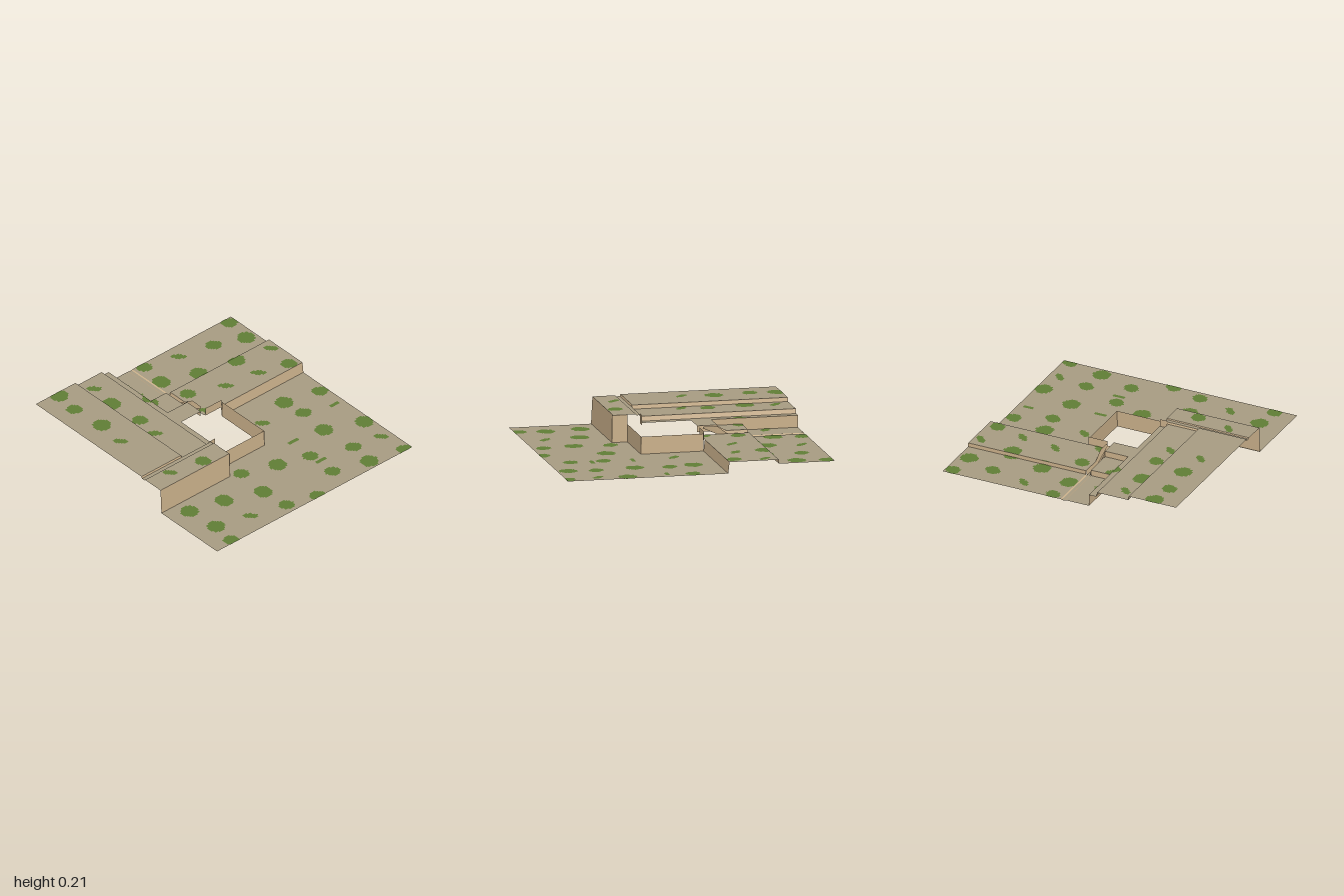
import * as THREE from 'three';
import { mergeGeometries } from 'three/addons/utils/BufferGeometryUtils.js';

const flat = (name, color) => {
  const m = new THREE.MeshStandardMaterial({ color, side: THREE.DoubleSide });
  m.name = name;
  return m;
};

// four corners in order around the face
function quad(a, b, c, d) {
  const g = new THREE.BufferGeometry();
  g.setAttribute('position', new THREE.Float32BufferAttribute([...a, ...b, ...c, ...d], 3));
  g.setIndex([0, 1, 2, 0, 2, 3]);
  g.computeVertexNormals();
  return g;
}
const floor = (x0, x1, z0, z1, y) => quad([x0, y, z0], [x0, y, z1], [x1, y, z1], [x1, y, z0]);

// wall along a line, its top edge leaning by (ox, oz)
const wall = (x0, z0, x1, z1, y0, y1, ox = 0, oz = 0) =>
  quad([x0, y0, z0], [x1, y0, z1], [x1 + ox, y1, z1 + oz], [x0 + ox, y1, z0 + oz]);

// level ground: name, x range, z range, height
const tiles = [
  ['frontGroundLeft', -0.95, -0.28, 0.38, 1, 0],
  ['frontGroundMiddle', -0.28, 0.155, 0.27, 1, 0],
  ['frontGroundRight', 0.155, 0.95, -0.2, 1, 0],
  ['frontLedge', -0.95, -0.28, 0.205, 0.375, 0.203],
  ['ledgeStep', -0.95, -0.28, 0.17, 0.2, 0.195],
  ['highTerrace', -0.95, -0.565, -1, 0.165, 0.21],
  ['middleTerrace', -0.56, -0.308, -1, 0.165, 0.18],
  ['lowTerrace', -0.3, -0.24, -1, 0.17, 0.145],
  ['platform', -0.24, -0.05, -0.35, -0.2, 0.145],
  ['upperYardLeft', -0.24, -0.05, -0.58, -0.35, 0.1],
  ['lowerYardLeft', -0.24, -0.05, -1, -0.58, 0.055],
  ['upperYardRight', -0.01, 0.95, -0.58, -0.21, 0.085],
  ['lowerYardRight', -0.01, 0.95, -1, -0.58, 0.055],
];

// vertical and sloping faces: name, line, bottom, top, lean
const walls = [
  ['ledgeFrontWall', -0.95, 0.385, -0.28, 0.385, 0, 0.203, 0, -0.01],
  ['ledgeSideWall', -0.28, 0.385, -0.28, 0.27, 0, 0.203],
  ['courtFrontWall', -0.285, 0.27, 0.155, 0.27, 0, 0.13, 0, -0.004],
  ['courtSideWall', 0.155, 0.27, 0.155, -0.2, 0, 0.13],
  ['courtBackWall', 0, -0.205, 0.155, -0.205, 0.08, 0.145],
  ['yardFrontWall', 0.155, -0.2, 0.95, -0.2, 0, 0.085, 0, -0.01],
  ['ledgeRiser', -0.95, 0.2, -0.28, 0.2, 0.195, 0.203, 0, 0.005],
  ['highTerraceFront', -0.95, 0.17, -0.565, 0.17, 0.195, 0.21, 0, -0.005],
  ['middleTerraceFront', -0.56, 0.165, -0.3, 0.165, 0.18, 0.195, 0, 0.005],
  ['lowTerraceFront', -0.3, 0.17, -0.24, 0.17, 0.13, 0.203],
  ['highTerraceSide', -0.56, -1, -0.56, 0.17, 0.18, 0.21, -0.005],
  ['middleTerraceSide', -0.3, -1, -0.3, 0.17, 0.145, 0.18, -0.008],
  ['lowTerraceSide', -0.24, -1, -0.24, -0.35, 0.053, 0.145],
  ['platformBackWall', -0.24, -0.35, -0.05, -0.35, 0.1, 0.145],
  ['platformSideWall', -0.05, -0.35, -0.05, -0.2, 0.1, 0.145],
  ['yardStepLeft', -0.24, -0.58, -0.05, -0.58, 0.055, 0.1],
  ['yardStepRight', -0.01, -0.58, 0.95, -0.58, 0.055, 0.085],
];

// grass patch kinds: half width, half depth, slant
const kinds = {
  L: [0.067, 0.068, 0],
  M: [0.06, 0.055, 0.2],
  T: [0.046, 0.043, 0.9],
  F: [0.05, 0.015, 0],
};
// grass grows in columns: x, kinds and z of each patch
const grassColumns = [
  [-0.77, 'LMLTTLLM', [-0.96, -0.765, -0.49, -0.255, 0.26, 0.505, 0.77, 0.965]],
  [-0.495, 'TLMTMLT', [-0.885, -0.665, -0.38, -0.19, 0.315, 0.575, 0.84]],
  [-0.21, 'TMMLM', [-0.745, -0.56, 0.415, 0.685, 0.915]],
  [0.06, 'MLMTLM', [-0.96, -0.745, -0.48, -0.24, 0.51, 0.98]],
  [0.332, 'TLTTFMFM', [-0.89, -0.64, -0.37, 0.06, 0.375, 0.59, 0.68, 0.835]],
  [0.615, 'MLTLMLML', [-0.825, -0.55, -0.33, -0.02, 0.165, 0.42, 0.715, 0.92]],
  [0.877, 'MLTMMFLTM', [-0.95, -0.735, -0.49, -0.265, 0.05, 0.24, 0.54, 0.755, 0.985]],
];
// neighbours in a column sit alternately to either side of it
const patches = grassColumns.flatMap(([x, letters, zs]) =>
  zs.map((z, i) => [x + (i % 2 ? -0.012 : 0.012), z, ...kinds[letters[i]]]));

// stepped rows of one patch, clipped to a tile and laid just off both of its sides
function patchRows([cx, cz, rx, rz, slant], [, x0, x1, z0, z1, y]) {
  const cell = 0.0135, rows = [], n = Math.round((2 * rz) / cell);
  const snap = v => Math.round(v / cell) * cell;
  for (let i = 0; i < n; i++) {
    const t = ((i + 0.5) / n) * 2 - 1;
    const half = rx * Math.sqrt(1 - t * t) * (1 - 0.25 * slant), mid = cx + slant * t * rz * 0.7;
    const a = Math.max(x0, snap(mid - half)), b = Math.min(x1, snap(mid + half));
    const c = Math.max(z0, cz - rz + (2 * rz * i) / n), d = Math.min(z1, cz - rz + (2 * rz * (i + 1)) / n);
    if (a < b && c < d) for (const off of [0.0015, -0.0015]) rows.push(floor(a, b, c, d, y + off));
  }
  return rows;
}

export function createModel() {
  const model = new THREE.Group();
  model.name = 'terracedGround';
  const earth = flat('dryEarth', 0xa79b82);
  const stone = flat('tanStone', 0xcab08a);
  const grass = flat('grassGreen', 0x5f7d35);
  const add = (name, geometry, material) => {
    const m = new THREE.Mesh(geometry, material);
    m.name = name;
    model.add(m);
  };

  for (const tile of tiles) {
    add(tile[0], floor(...tile.slice(1)), earth);
    const rows = patches.flatMap(p => patchRows(p, tile));
    if (rows.length) add(tile[0] + 'Grass', mergeGeometries(rows), grass);
  }
  for (const [name, ...w] of walls) add(name, wall(...w), stone);

  // narrow channel that climbs to the court: z, bed height, left and right bank heights
  const sections = [
    [-1, 0.05, 0.055, 0.055], [-0.58, 0.05, 0.055, 0.055], [-0.58, 0.05, 0.1, 0.085],
    [-0.42, 0.05, 0.1, 0.085], [-0.34, 0.085, 0.145, 0.145], [-0.24, 0.13, 0.145, 0.145],
  ];
  for (let i = 0; i < sections.length - 1; i++) {
    const [za, ya, la, ra] = sections[i], [zb, yb, lb, rb] = sections[i + 1];
    if (za === zb) continue;
    add('channelBed', quad([-0.042, ya, za], [-0.042, yb, zb], [-0.018, yb, zb], [-0.018, ya, za]), i > 2 ? stone : earth);
    add('channelLeftSide', quad([-0.042, ya, za], [-0.042, yb, zb], [-0.05, lb, zb], [-0.05, la, za]), stone);
    add('channelRightSide', quad([-0.018, ya, za], [-0.018, yb, zb], [-0.01, rb, zb], [-0.01, ra, za]), stone);
  }
  return model;
}
